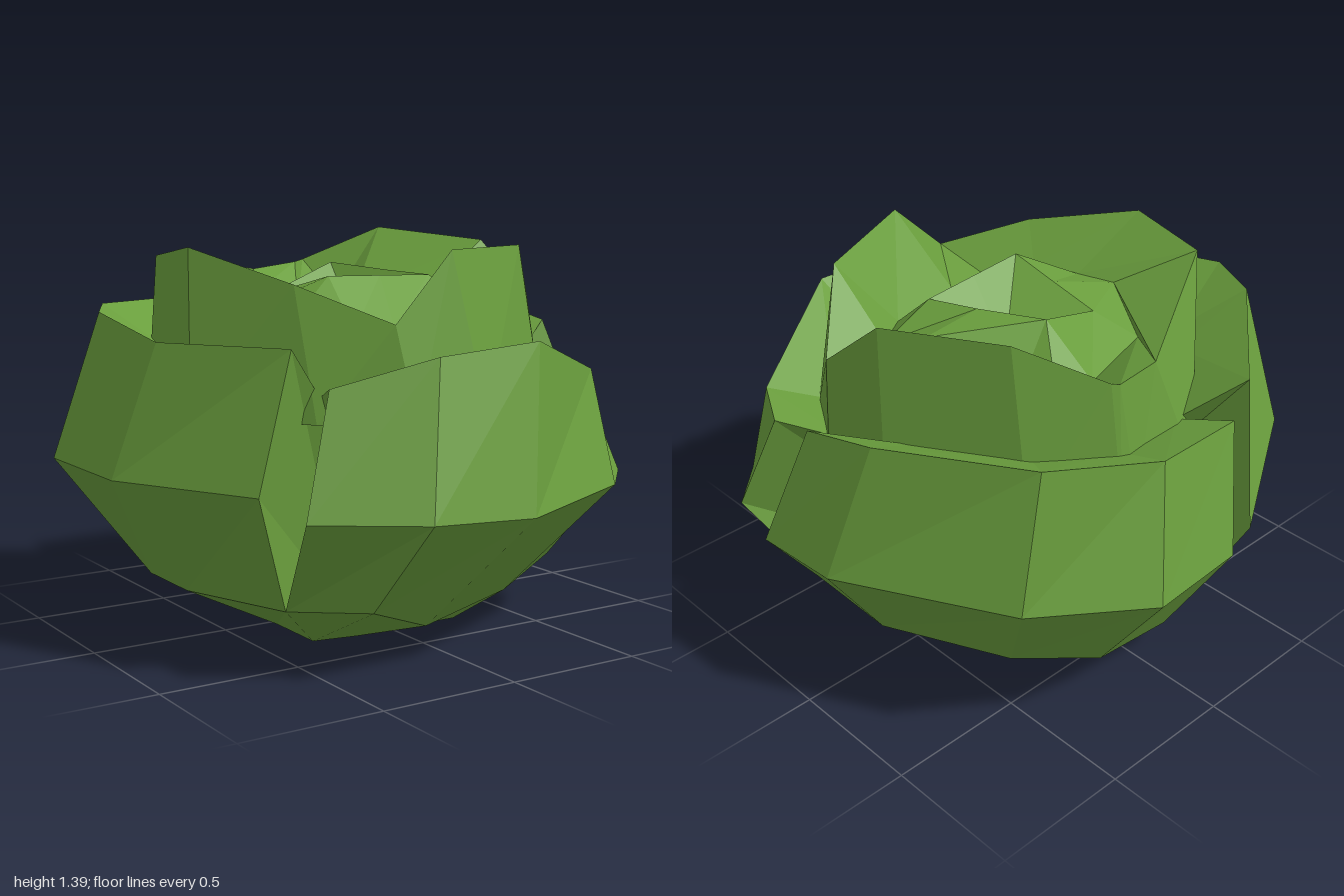
import * as THREE from 'three';

const material = new THREE.MeshStandardMaterial({ color: 0x6a9e3d, flatShading: true });

// Skins neighbouring columns of [x, y, z] points, each running from low to high along the surface.
function skin(name, columns, closed) {
  const pos = [];
  const tri = (a, b, c) => pos.push(...a, ...b, ...c);
  const n = columns.length;
  for (let i = 0; i < (closed ? n : n - 1); i++) {
    const a = columns[i], b = columns[(i + 1) % n];
    for (let j = 0; j < a.length - 1; j++) {
      tri(a[j], b[j], b[j + 1]);
      tri(a[j], b[j + 1], a[j + 1]);
    }
  }
  // end faces of an open band
  if (!closed) {
    const s = columns[0], e = columns[n - 1];
    for (let j = 1; j < s.length - 1; j++) {
      tri(s[0], s[j], s[j + 1]);
      tri(e[0], e[j + 1], e[j]);
    }
  }
  const geometry = new THREE.BufferGeometry();
  geometry.setAttribute('position', new THREE.Float32BufferAttribute(pos, 3));
  geometry.computeVertexNormals();
  const mesh = new THREE.Mesh(geometry, material);
  mesh.name = name;
  return mesh;
}

// Outer leaf: the lower points also give the flat, squarish foot on the ground,
// and the inner edge is tucked into the wall of the inner leaves.
function outerLeaf(name, lower, mid, rim, inner) {
  const columns = lower.map((p, i) => {
    const k = 0.31 / Math.max(Math.abs(p[0]), Math.abs(p[2]));
    const [x, y, z] = inner[i];
    return [[0, 0, 0], [p[0] * k, 0, p[2] * k], p, mid[i], rim[i], [x * 0.9, y, z * 0.9]];
  });
  return skin(name, columns, false);
}

export function createModel() {
  const group = new THREE.Group();
  group.name = 'leafyHead';

  // Points where neighbouring outer leaves meet
  const seamFrontRight = [-0.54, 0.19, 0.49];
  const seamFrontLeft = [0.69, 0.19, 0.33];
  const seamBack = [-0.1, 0.12, -0.67];

  group.add(outerLeaf('frontOuterLeaf',
    [seamFrontRight, [-0.35, 0.21, 0.72], [-0.11, 0.12, 0.67], [0.39, 0.12, 0.45], seamFrontLeft],
    [[-0.63, 0.54, 0.77], [-0.31, 0.54, 0.99], [0.11, 0.51, 0.96], [0.7, 0.51, 0.68], [0.87, 0.52, 0.51]],
    [[-0.51, 0.94, 0.71], [-0.2, 1.035, 0.86], [0.21, 1.06, 0.84], [0.69, 0.91, 0.55], [0.78, 0.89, 0.38]],
    [[-0.45, 0.88, 0.54], [-0.17, 0.86, 0.7], [0.16, 0.86, 0.68], [0.55, 0.84, 0.45], [0.7, 0.85, 0.17]]));

  group.add(outerLeaf('leftOuterLeaf',
    [seamFrontLeft, [0.69, 0.18, -0.04], [0.48, 0.18, -0.48], [0.22, 0.14, -0.66], seamBack],
    [[1, 0.61, 0.17], [0.98, 0.61, -0.14], [0.67, 0.62, -0.73], [0.3, 0.61, -0.99], [-0.07, 0.61, -0.97]],
    [[0.87, 1.04, 0.06], [0.84, 1.1, -0.23], [0.55, 1.1, -0.69], [0.19, 1.06, -0.87], [-0.17, 1.04, -0.85]],
    [[0.7, 0.85, 0.17], [0.68, 0.97, -0.17], [0.45, 0.98, -0.55], [0.16, 0.96, -0.71], [-0.17, 0.95, -0.69]]));

  group.add(outerLeaf('rightOuterLeaf',
    [seamBack, [-0.5, 0.18, -0.45], [-0.69, 0.19, -0.2], [-0.69, 0.19, 0.08], seamFrontRight],
    [[-0.22, 0.62, -0.92], [-0.82, 0.62, -0.55], [-1, 0.62, -0.31], [-0.98, 0.61, 0.13], [-0.72, 0.61, 0.64]],
    [[-0.3, 1.12, -0.8], [-0.76, 1.14, -0.41], [-0.87, 1.13, -0.19], [-0.85, 1.06, 0.21], [-0.59, 1.06, 0.62]],
    [[-0.17, 0.95, -0.69], [-0.53, 0.98, -0.38], [-0.65, 0.98, -0.27], [-0.69, 0.94, 0.15], [-0.45, 0.88, 0.54]]));

  // Inner leaves: wall foot, rim and valley, column by column around the head
  const inner = [
    [[-0.17, 0.8, 0.7], [-0.23, 1.12, 0.66], [-0.23, 1.08, 0.42]],
    [[0.12, 0.8, 0.69], [0.01, 1.35, 0.63], [-0.07, 1.08, 0.42]],
    [[0.53, 0.8, 0.47], [0.44, 1.35, 0.44], [0.26, 1.1, 0.33]],
    [[0.7, 0.8, 0.19], [0.66, 1.15, 0.22], [0.41, 1.12, 0.22]],
    [[0.69, 0.8, -0.1], [0.62, 1.35, -0.01], [0.38, 1.2, 0.04]],
    [[0.46, 0.8, -0.54], [0.44, 1.39, -0.44], [0.22, 1.14, -0.28]],
    [[0.2, 0.8, -0.71], [0.22, 1.26, -0.66], [0.22, 1.12, -0.42]],
    [[0.13, 0.8, -0.71], [0.19, 1.25, -0.67], [0.06, 1.1, -0.43]],
    [[-0.17, 0.8, -0.69], [-0.02, 1.23, -0.63], [-0.27, 1.1, -0.33]],
    [[-0.65, 0.8, -0.28], [-0.6, 1.31, -0.3], [-0.42, 1.16, -0.07]],
    [[-0.69, 0.8, 0.13], [-0.63, 1.35, 0.01], [-0.39, 1.15, 0.08]],
    [[-0.45, 0.8, 0.54], [-0.45, 1.24, 0.4], [-0.34, 1.14, 0.26]],
  ];
  group.add(skin('innerLeaves', inner, true));

  // Heart: rises from the valley to a crest, then dips to the middle
  const front = [-0.2, 1.25, 0.21], side = [0.24, 1.24, 0.18];
  const back = [0.09, 1.27, -0.24], low = [-0.2, 1.17, -0.18];
  const crest = [
    front, [0.02, 1.245, 0.195], side, side, [0.18, 1.25, 0], back,
    back, back, low, low, [-0.2, 1.21, 0.02], front,
  ];
  group.add(skin('heart', crest.map((p, i) => [inner[i][2], p, [0.05, 1.04, 0]]), true));

  return group;
}
